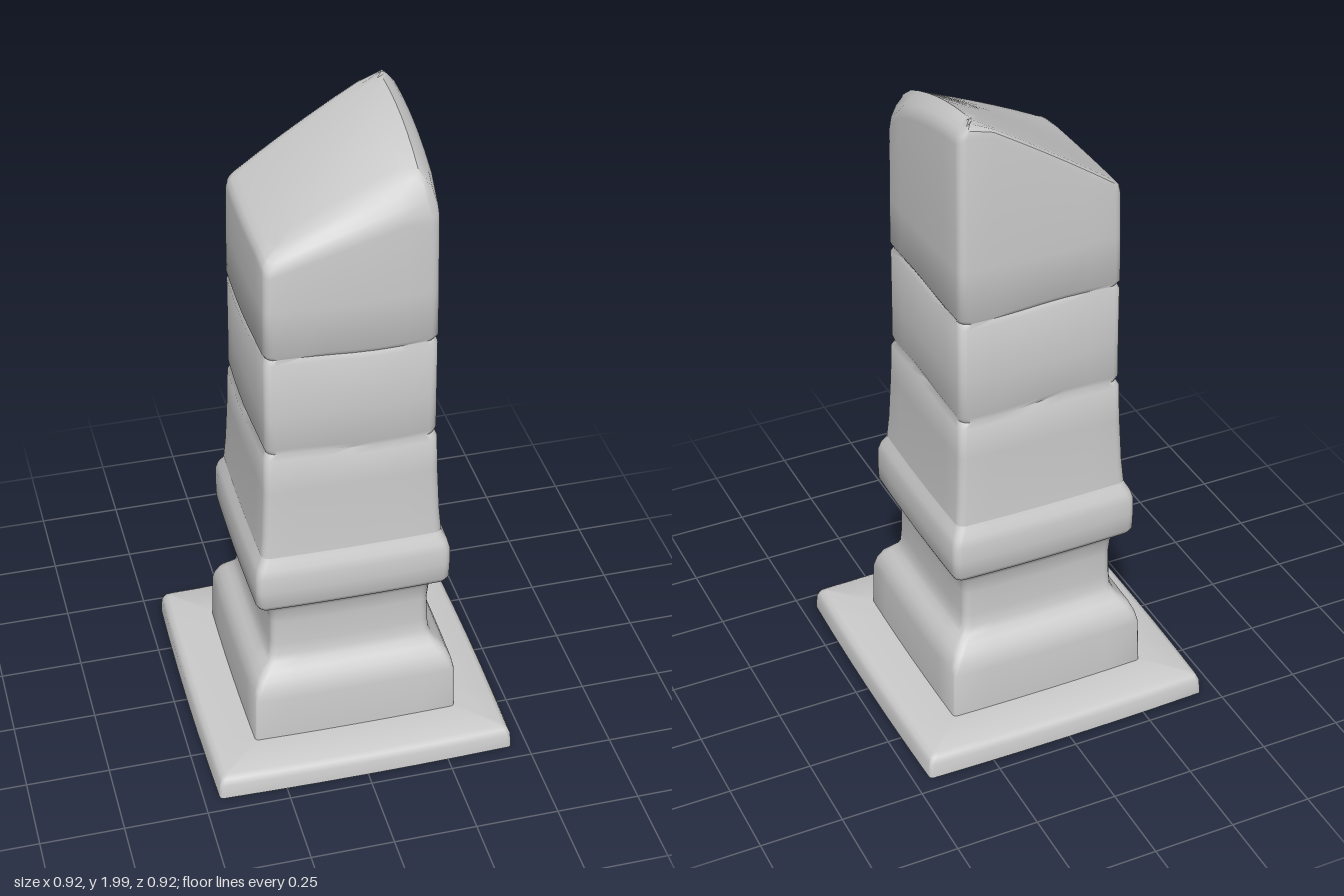
import * as THREE from 'three';
import { toCreasedNormals } from 'three/addons/utils/BufferGeometryUtils.js';

const material = new THREE.MeshStandardMaterial({ color: 0xcccccc, side: THREE.DoubleSide });

// Square outline with rounded corners and slightly bowed sides, as [x, z] points
function section(half, radius, bow) {
  const points = [];
  const flat = half - radius;
  for (let q = 0; q < 4; q++) {
    const turn = (q * Math.PI) / 2;
    const add = (x, y) => points.push([
      x * Math.cos(turn) - y * Math.sin(turn),
      -(x * Math.sin(turn) + y * Math.cos(turn)),
    ]);
    for (const s of [-0.67, -0.33, 0, 0.33, 0.67]) add(half + bow * (1 - s * s), s * flat);
    for (const a of [0, 0.25, 0.5, 0.75, 1]) {
      const t = (a * Math.PI) / 2;
      add(flat + radius * Math.cos(t), flat + radius * Math.sin(t));
    }
  }
  return points;
}

// Ring of vertices at one height; wave makes an uneven crack line
function ring([y, half, radius = 0.025, bow = 0.004, wave = 0]) {
  return section(half, radius, bow).map(([x, z]) =>
    [x, y + wave * Math.sin(3 * Math.atan2(z, x) + 1), z]);
}

// Skin a stack of rings
function loft(name, rings) {
  const n = rings[0].length;
  const index = [];
  for (let i = 0; i < rings.length - 1; i++) {
    for (let k = 0; k < n; k++) {
      const a = i * n + k, b = i * n + ((k + 1) % n);
      index.push(a, b, b + n, a, b + n, a + n);
    }
  }
  const geometry = new THREE.BufferGeometry();
  geometry.setAttribute('position', new THREE.Float32BufferAttribute(rings.flat(2), 3));
  geometry.setIndex(index);
  const mesh = new THREE.Mesh(toCreasedNormals(geometry, 0.9), material);
  mesh.name = name;
  return mesh;
}

// Height of the slanted break, rising to the back corner on +x
function breakHeight(x, z) {
  const u = x / 0.25, v = z / 0.25;
  const t = Math.max(0, (u + 1) / 2);
  const worn = (s) => Math.max(0, (s - 0.8) / 0.2);
  return 1.7 + 0.36 * t - 0.04 * t * t - t * (0.035 + 0.07 * v + 0.035 * v * v)
    - 0.07 * worn(u) - 0.07 * worn(v) * (0.4 + 0.6 * t);
}

export function createModel() {
  const group = new THREE.Group();
  group.name = 'brokenColumn';

  // Thin hollow slab, open underneath
  group.add(loft('baseSlab', [
    [0, 0.453, 0.012, 0.007], [0.045, 0.45, 0.012, 0.007], [0.064, 0.442, 0.015, 0.007],
    [0.072, 0.428, 0.015, 0.006], [0.075, 0.31, 0.01, 0.003],
  ].map(ring)));

  // Block that sweeps in to a neck and flares out below the collar
  group.add(loft('pedestal', [
    [0.07, 0.312, 0.012], [0.22, 0.309, 0.015], [0.25, 0.303, 0.02], [0.28, 0.29], [0.3, 0.272],
    [0.32, 0.255], [0.34, 0.246], [0.38, 0.243], [0.46, 0.241], [0.51, 0.245], [0.53, 0.255],
    [0.55, 0.278],
  ].map(ring)));

  // Projecting band
  group.add(loft('collar', [
    [0.545, 0.268], [0.552, 0.284], [0.568, 0.292], [0.62, 0.293], [0.67, 0.292], [0.695, 0.285],
    [0.715, 0.274], [0.735, 0.266],
  ].map(ring)));

  // Tapering shaft with two shallow cracks
  const shaft = [
    [0.73, 0.27], [0.8, 0.264], [0.95, 0.257], [1.055, 0.254, 0.025, 0.004, 0.008],
    [1.072, 0.246, 0.03, 0.002, 0.008], [1.09, 0.251, 0.025, 0.004, 0.008], [1.2, 0.25],
    [1.375, 0.249, 0.025, 0.004, 0.006], [1.39, 0.243, 0.03, 0.002, 0.006],
    [1.405, 0.25, 0.025, 0.004, 0.006], [1.55, 0.248],
  ].map(ring);

  // Slanted broken end: wall rim, worn edge, then rings closing to the middle
  const rim = section(0.245, 0.025, 0.004);
  for (const [scale, drop] of [[1, 0.025], [0.985, 0.006], [0.94, 0], [0.87, 0], [0.8, 0], [0.6, 0], [0.4, 0], [0.2, 0], [0, 0]]) {
    shaft.push(rim.map(([x, z]) => [x * scale, breakHeight(x * scale, z * scale) - drop, z * scale]));
  }
  group.add(loft('brokenShaft', shaft));

  return group;
}
